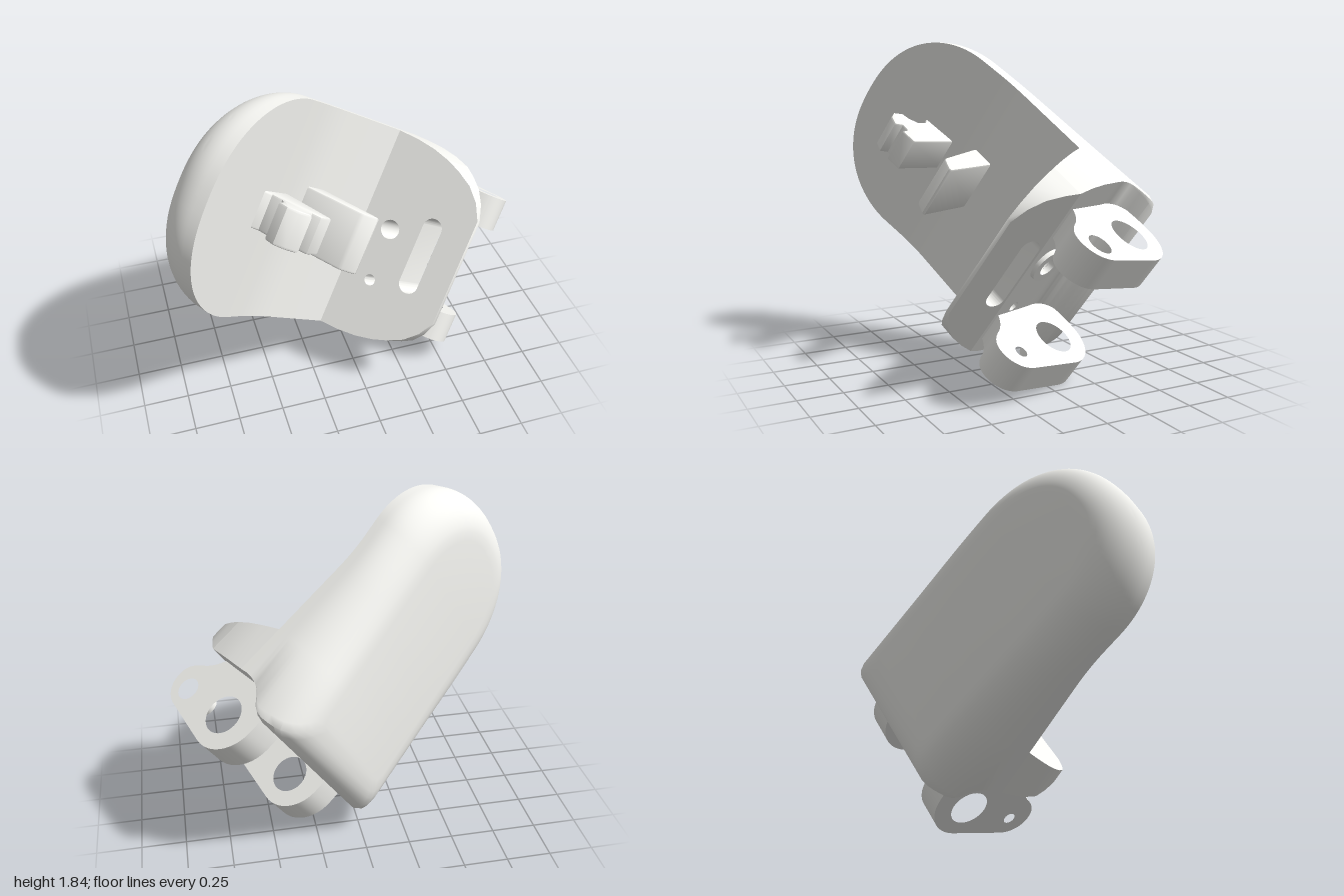
import * as THREE from 'three';
import { toCreasedNormals } from 'three/addons/utils/BufferGeometryUtils.js';

// Local frame: +x towards the rounded tip, +y out of the flat face, z along the hinge pin.
const paint = new THREE.MeshStandardMaterial({ color: 0xf8f8f4 });
const v2 = (p) => new THREE.Vector2(p[0], p[1]);
const { lerp, smoothstep } = THREE.MathUtils;

function part(name, geometry) {
  const m = new THREE.Mesh(geometry, paint);
  m.name = name;
  return m;
}

function circle(x, y, r) {
  return new THREE.Path().absarc(x, y, r, 0, Math.PI * 2, true);
}

// Height of the flat face: level, then softly bent up towards the tip
function faceY(x) {
  if (x < 0.45) return 0;
  if (x > 0.69) return 0.217 * (x - 0.57);
  return 0.217 * (x - 0.45) ** 2 / 0.48;
}
const backY = (x) => -0.41 + 0.197 * x;

// Shell body: U-shaped outlines stacked from the face (t = 0) to the back (t = 1)
function bodyGeometry() {
  // depth t and hinge-end x: concave clearance, then a rounded lip
  const layers = [[0, -0.285], [0.1, -0.28], [0.18, -0.28], [0.25, -0.285], [0.32, -0.295],
    [0.38, -0.315], [0.43, -0.345], [0.48, -0.38], [0.53, -0.4], [0.6, -0.41], [0.68, -0.41],
    [0.75, -0.405], [0.81, -0.395], [0.87, -0.375], [0.92, -0.35], [0.96, -0.315], [0.985, -0.28],
    [1, -0.22]];
  const pos = [], idx = [], arc = 28;
  let n = 0;
  for (const [t, endX] of layers) {
    const q = Math.max(0, (t - 0.2) / 0.8);
    const inset = 0.25 * (1 - Math.sqrt(1 - q * q));
    const w = 0.6 - inset;
    const cut = 0.06 * smoothstep(t, 0.25, 0.75);
    const half = [[endX, w - cut], [endX + cut * 0.3, w - cut * 0.3], [endX + cut, w]];
    for (const x of [0, 0.2, 0.45, 0.49, 0.53, 0.57, 0.61, 0.65, 0.69]) half.push([x, w]);
    for (let i = 0; i <= arc; i++) {
      const a = (i / arc) * 1.555;
      half.push([0.79 + (0.52 + 0.09 * t - inset) * Math.sin(a), w * Math.cos(a) ** 0.87]);
    }
    n = half.length;
    const ring = [...half, ...half.map(([x, z]) => [x, -z]).reverse()];
    for (const [x, z] of ring) pos.push(x, lerp(faceY(x), backY(x), t), z);
  }
  // walls between the outlines, then strips closing the face and the back
  const R = n * 2, last = (layers.length - 1) * R;
  for (let j = 0; j < layers.length - 1; j++) {
    for (let k = 0; k < R; k++) {
      const a = j * R + k, b = j * R + (k + 1) % R;
      idx.push(a, a + R, b, b, a + R, b + R);
    }
  }
  for (let i = 0; i < n - 1; i++) {
    const a = i, a2 = i + 1, b = R - 1 - i, b2 = R - 2 - i;
    idx.push(b, a, a2, b, a2, b2);
    idx.push(last + b, last + a2, last + a, last + b, last + b2, last + a2);
  }
  const g = new THREE.BufferGeometry();
  g.setAttribute('position', new THREE.Float32BufferAttribute(pos, 3));
  g.setIndex(idx);
  return toCreasedNormals(g, 0.7);
}

// Piece of the sloped flap: half outline (z, distance up the slope), mirrored.
// Its rear runs straight from rearA at the first outline point to rearB at the last.
function flapGeometry(edge, holes, rearA, rearB) {
  const shape = new THREE.Shape([...edge, ...edge.map(([z, s]) => [-z, s]).reverse()].map(v2));
  shape.holes.push(...holes);
  const g = new THREE.ExtrudeGeometry(shape, { depth: 1, bevelEnabled: false, curveSegments: 16 });
  const p = g.attributes.position, s0 = edge[0][1], s1 = edge[edge.length - 1][1];
  for (let i = 0; i < p.count; i++) {
    const z = p.getX(i), s = p.getY(i);
    const rear = lerp(rearA, rearB, (s - s0) / (s1 - s0));
    p.setXYZ(i, lerp(-0.31 * s, rear, p.getZ(i)), 0.95 * s, z);
  }
  g.computeVertexNormals();
  return toCreasedNormals(g, 0.5);
}

// Slot along the pin direction
function slotPath(s, r, halfLength) {
  const slot = new THREE.Path();
  slot.absarc(halfLength, s, r, -Math.PI / 2, Math.PI / 2, false);
  slot.absarc(-halfLength, s, r, Math.PI / 2, Math.PI * 1.5, false);
  slot.closePath();
  return slot;
}

// Hinge lug with pin hole and small hole, its lower side at z0
function lugGeometry(z0, depth, smallR) {
  const s = new THREE.Shape();
  s.moveTo(-0.25, 0.16);
  s.lineTo(-0.25, -0.18);
  s.quadraticCurveTo(-0.38, -0.22, -0.5, -0.215);
  s.bezierCurveTo(-0.63, -0.21, -0.73, -0.1, -0.71, 0.03);
  s.lineTo(-0.67, 0.34);
  s.bezierCurveTo(-0.66, 0.43, -0.6, 0.475, -0.54, 0.48);
  s.bezierCurveTo(-0.47, 0.485, -0.43, 0.44, -0.4, 0.375);
  s.quadraticCurveTo(-0.35, 0.29, -0.25, 0.26);
  s.holes.push(circle(-0.52, 0.01, 0.11), circle(-0.555, 0.345, smallR));
  const g = new THREE.ExtrudeGeometry(s, { depth, bevelEnabled: false, curveSegments: 20 });
  return toCreasedNormals(g.translate(0, 0, z0), 0.5);
}

// Block standing on the face: a side profile swept along the pin direction
function blockGeometry(profile, width) {
  const bevel = 0.012;
  const g = new THREE.ExtrudeGeometry(new THREE.Shape(profile.map(v2)), { depth: width - 2 * bevel,
    bevelThickness: bevel, bevelSize: 0.01, bevelOffset: -0.01, bevelSegments: 2 });
  return toCreasedNormals(g.translate(0, 0, bevel - width / 2), 0.6);
}
const postProfile = [[0.41, -0.05], [0.55, -0.05], [0.54, 0.03], [0.465, 0.335], [0.45, 0.353],
  [0.375, 0.387], [0.36, 0.38]];
const clipProfile = [[0.93, 0.04], [0.87, 0.1], [0.865, 0.17], [0.9, 0.215], [0.945, 0.235],
  [0.95, 0.3], [0.91, 0.35], [0.845, 0.375], [0.835, 0.32], [0.79, 0.32], [0.775, 0.37],
  [0.685, 0.355], [0.69, 0]];

// Raised ring behind the larger screw hole
function bossGeometry() {
  const s = new THREE.Shape().absarc(0, 0, 0.1, 0, Math.PI * 2, false);
  s.holes.push(circle(0, 0, 0.055));
  const g = new THREE.ExtrudeGeometry(s, { depth: 0.04, bevelEnabled: false, curveSegments: 20 });
  return toCreasedNormals(g.rotateY(-Math.PI / 2).translate(-0.285, 0.166, 0.064), 0.5);
}

export function createModel() {
  const body = new THREE.Group();
  body.name = 'fingerSegment';
  body.add(part('shellBody', bodyGeometry()));
  body.add(part('flapBase', flapGeometry(
    [[0.6, 0], [0.595, 0.12], [0.58, 0.23], [0.553, 0.33]],
    [circle(0.064, 0.175, 0.055), circle(-0.25, 0.18, 0.032)], -0.285, -0.305)));
  body.add(part('slottedFlapEnd', flapGeometry(
    [[0.553, 0.33], [0.52, 0.41], [0.47, 0.5], [0.4, 0.57], [0.31, 0.62]],
    [slotPath(0.4, 0.056, 0.17)], -0.305, -0.215)));
  body.add(part('screwBoss', bossGeometry()));
  body.add(part('upperHingeLug', lugGeometry(0.26, 0.19, 0.065)));
  body.add(part('lowerHingeLug', lugGeometry(-0.465, 0.175, 0.035)));
  body.add(part('facePost', blockGeometry(postProfile, 0.32)));
  body.add(part('clipPost', blockGeometry(clipProfile, 0.2)));

  // Tilt the part into its resting pose
  const pin = new THREE.Vector3(0.49, 0.81, -0.31).normalize();
  const tip = new THREE.Vector3(-0.768, 0.559, 0.314);
  const out = new THREE.Vector3().crossVectors(pin, tip).normalize();
  tip.crossVectors(out, pin);
  body.quaternion.setFromRotationMatrix(new THREE.Matrix4().makeBasis(tip, out, pin));
  body.position.set(0.115, 0.785, -0.005);

  const model = new THREE.Group();
  model.name = 'model';
  model.add(body);
  return model;
}
